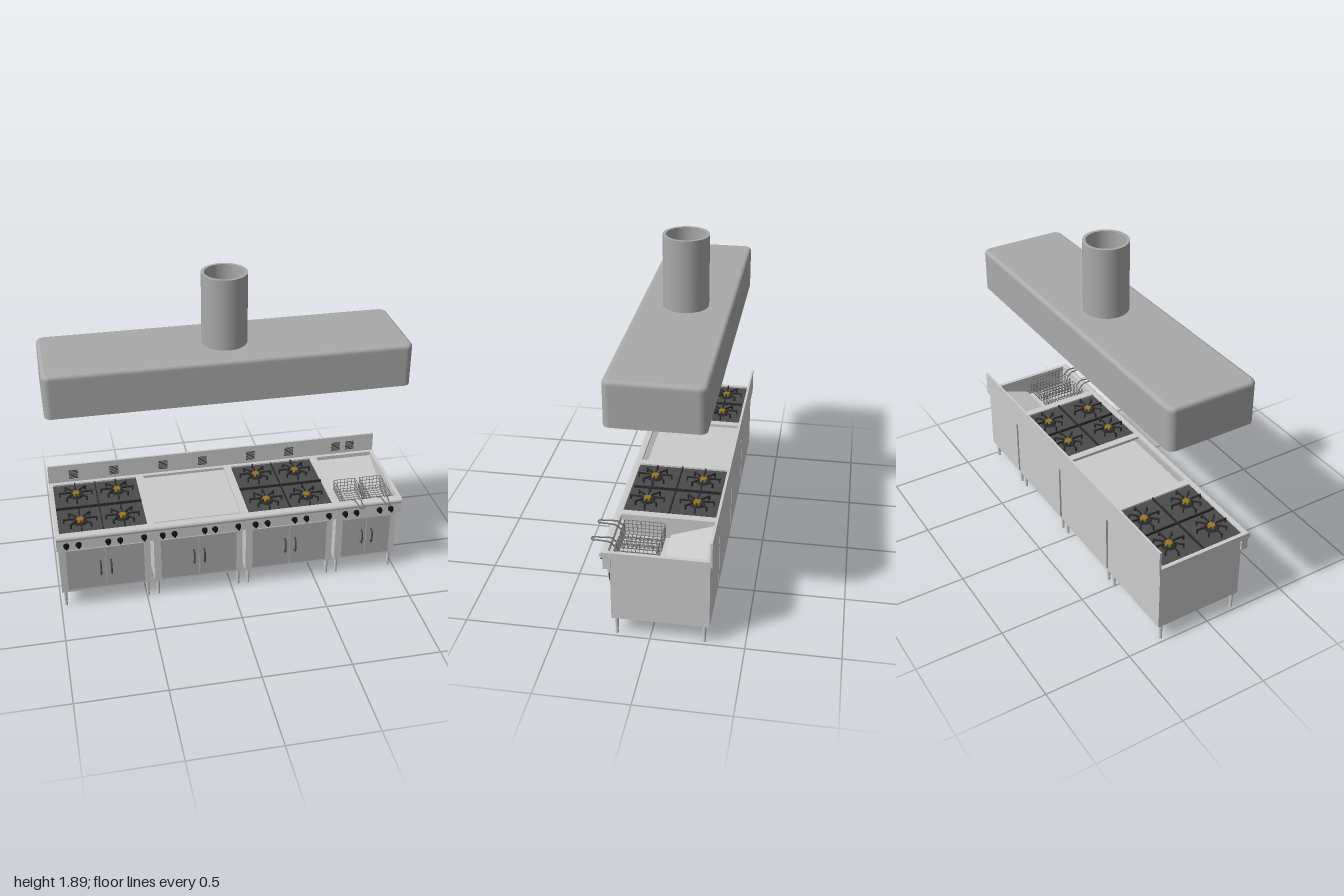
import * as THREE from 'three';

const mat = (color, side = THREE.FrontSide) => new THREE.MeshStandardMaterial({ color, side });
const steel = mat(0xcccccc), panel = mat(0xaaaaaa), hoodMat = mat(0xaaaaaa, THREE.DoubleSide);
const iron = mat(0x2c2c2c), pan = mat(0x4a4a4a), black = mat(0x111111), brass = mat(0x9a7420), wire = mat(0x777777);

function add(parent, name, geo, m, x = 0, y = 0, z = 0) {
  const mesh = new THREE.Mesh(geo, m);
  mesh.name = name;
  mesh.position.set(x, y, z);
  parent.add(mesh);
  return mesh;
}
// box given by its limits
function box(parent, name, m, x0, x1, y0, y1, z0, z1) {
  return add(parent, name, new THREE.BoxGeometry(x1 - x0, y1 - y0, z1 - z0), m, (x0 + x1) / 2, (y0 + y1) / 2, (z0 + z1) / 2);
}
function rect(Type, x0, x1, z0, z1) {
  return new Type([[x0, -z1], [x1, -z1], [x1, -z0], [x0, -z0]].map(p => new THREE.Vector2(...p)));
}
// upright rectangular frame, o = outer limits, h = hole limits [x0, x1, z0, z1]
function frame(parent, name, m, o, h, y0, y1) {
  const s = rect(THREE.Shape, ...o);
  s.holes.push(rect(THREE.Path, ...h));
  const g = new THREE.ExtrudeGeometry(s, { depth: y1 - y0, bevelEnabled: false });
  return add(parent, name, g.rotateX(-Math.PI / 2), m, 0, y0, 0);
}
function tube(parent, name, m, pts, r, seg = 24) {
  const curve = new THREE.CatmullRomCurve3(pts.map(p => new THREE.Vector3(...p)), false, 'catmullrom', 0.2);
  return add(parent, name, new THREE.TubeGeometry(curve, seg, r, 6), m);
}

// four burners with cast grates over a dark tray
function burnerTop(g, c, x0, x1) {
  box(g, 'burnerTray', pan, x0, x1, 0.495, 0.51, -0.29, 0.215);
  for (const dx of [-0.12, 0.12]) for (const z of [0.105, -0.17]) {
    const b = new THREE.Group();
    b.name = 'burner';
    b.position.set(c + dx, 0, z);
    add(b, 'burnerBase', new THREE.CylinderGeometry(0.036, 0.042, 0.01, 24), iron, 0, 0.515, 0);
    add(b, 'burnerCap', new THREE.CylinderGeometry(0.02, 0.024, 0.013, 20), brass, 0, 0.526, 0);
    for (let i = 0; i < 8; i++) {
      const arm = new THREE.Group();
      arm.name = 'grateArm';
      arm.rotation.y = i * Math.PI / 4;
      const end = i % 2 ? 0.085 : 0.097;
      box(arm, 'grateBar', iron, 0.028, end, 0.529, 0.538, -0.004, 0.004);
      box(arm, 'grateFoot', iron, end - 0.008, end, 0.51, 0.53, -0.004, 0.004);
      b.add(arm);
    }
    g.add(b);
  }
  box(g, 'grateDivider', iron, c - 0.003, c + 0.003, 0.51, 0.525, -0.28, 0.205);
  box(g, 'grateDivider', iron, x0, x1, 0.51, 0.525, -0.036, -0.03);
}

function griddleTop(g, c, x0, x1) {
  box(g, 'griddlePlate', steel, x0, x1, 0.485, 0.503, -0.29, 0.215);
  box(g, 'greaseChannel', panel, x0, x1, 0.503, 0.505, 0.185, 0.215);
}

function basket(g, x) {
  const b = new THREE.Group();
  b.name = 'fryBasket';
  b.position.x = x;
  const w = 0.065, z0 = -0.03, z1 = 0.19, y0 = 0.42, y1 = 0.51, t = 0.0012;
  const bar = (...l) => box(b, 'basketWire', wire, l[0] - t, l[1] + t, l[2] - t, l[3] + t, l[4] - t, l[5] + t);
  for (let i = 0; i <= 6; i++) {
    const u = -w + 2 * w * i / 6;
    bar(u, u, y0, y0, z0, z1);
    for (const z of [z0, z1]) bar(u, u, y0, y1, z, z);
  }
  for (let i = 0; i <= 10; i++) {
    const z = z0 + (z1 - z0) * i / 10;
    bar(-w, w, y0, y0, z, z);
    for (const s of [-w, w]) bar(s, s, y0, y1, z, z);
  }
  for (let i = 1; i <= 4; i++) {
    const y = y0 + (y1 - y0) * i / 4;
    for (const s of [-w, w]) bar(s, s, y, y, z0, z1);
    for (const z of [z0, z1]) bar(-w, w, y, y, z, z);
  }
  tube(b, 'basketHandle', wire, [[-0.02, 0.505, 0.19], [-0.02, 0.53, 0.22], [-0.014, 0.531, 0.27], [-0.012, 0.531, 0.315],
    [0.012, 0.531, 0.315], [0.014, 0.531, 0.27], [0.02, 0.53, 0.22], [0.02, 0.505, 0.19]], 0.004, 40);
  g.add(b);
}

function fryerTop(g, c, x0, x1) {
  frame(g, 'fryerTank', steel, [x0 - 0.004, x1 + 0.004, -0.294, 0.219], [x0, x1, -0.29, 0.215], 0.39, 0.515);
  box(g, 'tankFloor', steel, x0, x1, 0.385, 0.392, -0.29, 0.215);
  const slope = add(g, 'drainSlope', new THREE.BoxGeometry(x1 - x0, 0.006, 0.25), steel, c, 0.452, -0.172);
  slope.rotation.x = 0.34;
  for (const x of [0.737, 0.895]) basket(g, x);
}

function unit(name, x0, x1, knobs, ventOffset, makeTop) {
  const g = new THREE.Group();
  g.name = name;
  const c = (x0 + x1) / 2, a = x0 + 0.01, b = x1 - 0.01;
  // cabinet shell, floor and bottom rails
  frame(g, 'cabinet', steel, [a, b, -0.313, 0.205], [a + 0.01, b - 0.01, -0.303, 0.195], 0.105, 0.485);
  box(g, 'cabinetFloor', pan, a + 0.005, b - 0.005, 0.112, 0.12, -0.308, 0.2);
  frame(g, 'bottomRails', steel, [a + 0.03, b - 0.03, -0.285, 0.18], [a + 0.038, b - 0.038, -0.277, 0.172], 0.104, 0.113);
  // worktop with a rounded nose, control panel and backsplash
  const hole = [x0 + 0.022, x1 - 0.022, -0.29, 0.215];
  frame(g, 'worktop', steel, [x0, x1, -0.315, 0.238], hole, 0.485, 0.52);
  add(g, 'worktopNose', new THREE.CylinderGeometry(0.0175, 0.0175, x1 - x0, 20).rotateZ(Math.PI / 2), steel, c, 0.5025, 0.238);
  box(g, 'controlPanel', steel, x0, x1, 0.42, 0.485, 0.2, 0.24);
  box(g, 'backsplash', steel, x0, x1, 0.485, 0.635, -0.325, -0.313);
  makeTop(g, c, hole[0], hole[1]);
  for (const s of [-1, 1]) {
    for (let i = 0; i < 7; i++) {
      const vx = c + s * ventOffset, y = 0.542 + i * 0.0085;
      box(g, 'ventSlat', pan, vx - 0.027, vx + 0.027, y, y + 0.005, -0.314, -0.311);
    }
    // doors and pull handles
    const d0 = c + s * 0.0015, d1 = c + s * ((b - a) / 2 - 0.038);
    box(g, 'door', panel, Math.min(d0, d1), Math.max(d0, d1), 0.125, 0.395, 0.204, 0.214);
    const hx = c + s * 0.03;
    tube(g, 'doorHandle', pan, [[hx, 0.222, 0.212], [hx, 0.226, 0.236], [hx, 0.24, 0.243], [hx, 0.288, 0.243],
      [hx, 0.302, 0.236], [hx, 0.306, 0.212]], 0.005);
    // legs with narrower feet
    for (const z of [-0.285, 0.18]) {
      const lx = s < 0 ? a + 0.02 : b - 0.02;
      add(g, 'leg', new THREE.CylinderGeometry(0.011, 0.009, 0.08, 14), steel, lx, 0.072, z);
      add(g, 'foot', new THREE.CylinderGeometry(0.007, 0.009, 0.034, 14), steel, lx, 0.017, z);
    }
  }
  for (const x of knobs) {
    add(g, 'knob', new THREE.CylinderGeometry(0.013, 0.017, 0.018, 20).rotateX(Math.PI / 2), black, x, 0.452, 0.249);
    box(g, 'knobGrip', black, x - 0.004, x + 0.004, 0.438, 0.466, 0.255, 0.264);
  }
  return g;
}

// outline of the hood, rounded at the corners, shrunk by "inset"
function outline(inset) {
  const w = 1 - inset, d = 0.255 - inset, r = 0.04 - inset * 0.6, pts = [];
  [[1, 1], [-1, 1], [-1, -1], [1, -1]].forEach(([sx, sy], q) => {
    for (let i = 0; i <= 6; i++) {
      const t = (q + i / 6) * Math.PI / 2;
      pts.push(new THREE.Vector2(sx * (w - r) + r * Math.cos(t), sy * (d - r) + r * Math.sin(t)));
    }
  });
  return pts;
}
// wall lofted through [inset, y] levels
function loft(levels) {
  const pos = [], idx = [], n = 29;
  for (const [inset, y] of levels) {
    const o = outline(inset);
    for (const p of [...o, o[0]]) pos.push(p.x, y, -p.y);
  }
  for (let j = 0; j < levels.length - 1; j++) for (let i = 0; i < n - 1; i++) {
    const a = j * n + i, b = a + n;
    idx.push(a, a + 1, b, b, a + 1, b + 1);
  }
  const g = new THREE.BufferGeometry();
  g.setAttribute('position', new THREE.Float32BufferAttribute(pos, 3));
  g.setIndex(idx);
  g.computeVertexNormals();
  return g;
}

function hood() {
  const g = new THREE.Group();
  g.name = 'extractorHood';
  g.position.z = -0.035;
  const R = 0.125, Ri = 0.107, px = 0.005;
  const fillet = [0, 1, 2, 3, 4].map(i => {
    const t = i / 4 * Math.PI / 2;
    return [0.02 * (1 - Math.cos(t)), 1.47 + 0.02 * Math.sin(t)];
  });
  add(g, 'hoodWall', loft([[0, 1.245], [0, 1.46], ...fillet]), hoodMat);
  add(g, 'hoodInnerWall', loft([[0.03, 1.475], [0.012, 1.455], [0.012, 1.245]]), hoodMat);
  add(g, 'hoodLip', loft([[0.012, 1.245], [0, 1.245]]), hoodMat);
  // top and ceiling, both open to the duct
  for (const [name, inset, y] of [['hoodTop', 0.02, 1.49], ['hoodCeiling', 0.03, 1.475]]) {
    const s = new THREE.Shape(outline(inset));
    s.holes.push(new THREE.Path().absarc(px, 0, Ri, 0, Math.PI * 2, true));
    add(g, name, new THREE.ShapeGeometry(s, 24).rotateX(-Math.PI / 2), hoodMat, 0, y, 0);
  }
  const ring = new THREE.Shape().absarc(0, 0, R, 0, Math.PI * 2, false);
  ring.holes.push(new THREE.Path().absarc(0, 0, Ri, 0, Math.PI * 2, true));
  const duct = new THREE.ExtrudeGeometry(ring, { depth: 0.415, bevelEnabled: false, curveSegments: 48 });
  add(g, 'duct', duct.rotateX(-Math.PI / 2), hoodMat, px, 1.475, 0);
  return g;
}

export function createModel() {
  const model = new THREE.Group();
  model.name = 'cookingLine';
  model.add(
    unit('rangeRight', -1, -0.463, [-0.945, -0.877, -0.712, -0.645, -0.51], 0.12, burnerTop),
    unit('griddle', -0.463, 0.073, [-0.405, -0.338, -0.165, -0.105, 0.03], 0.12, griddleTop),
    unit('rangeLeft', 0.073, 0.612, [0.13, 0.2, 0.36, 0.43, 0.565], 0.12, burnerTop),
    unit('fryer', 0.612, 1, [0.662, 0.73, 0.87, 0.938], 0.045, fryerTop),
    hood());
  return model;
}
